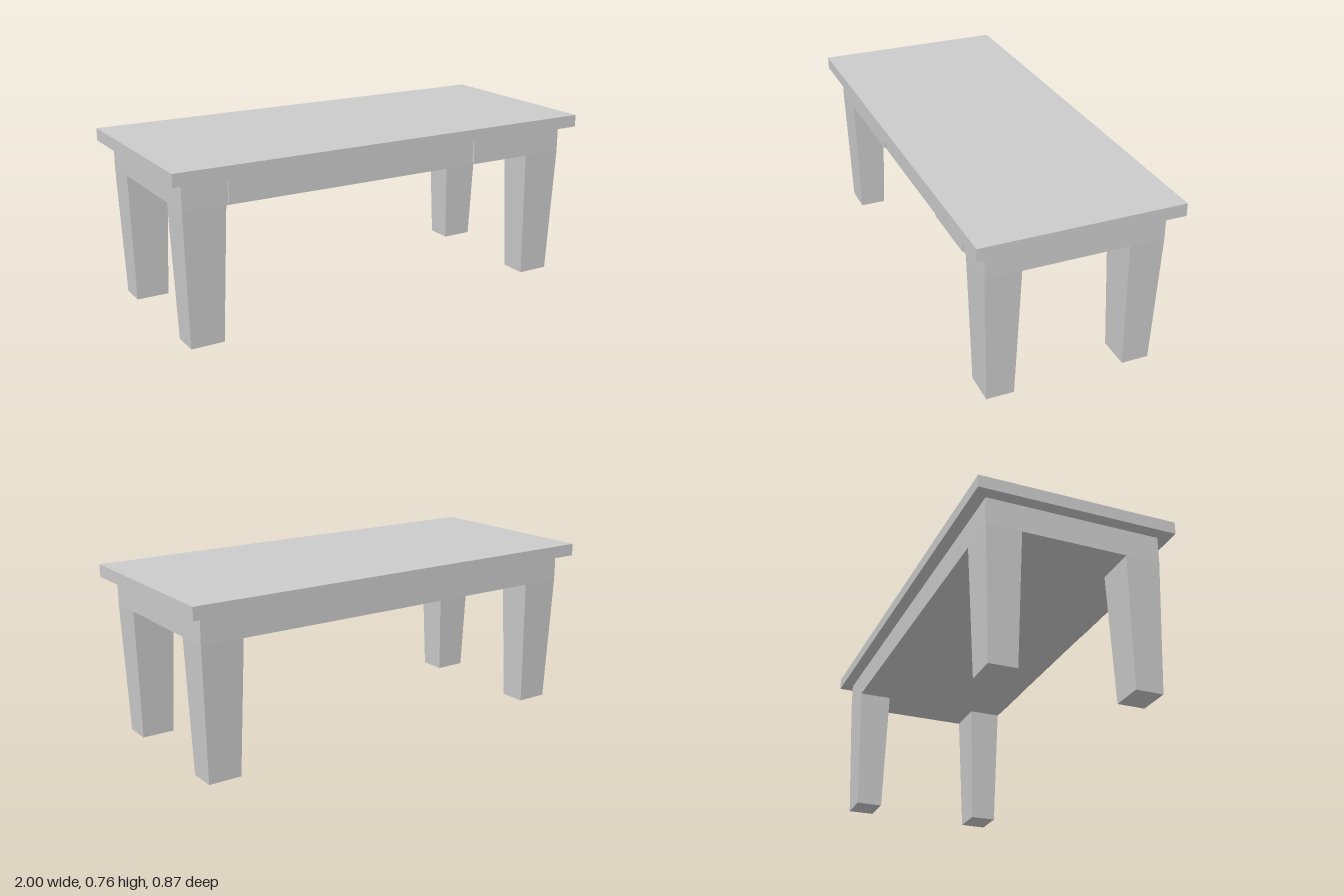
import * as THREE from 'three';

const material = new THREE.MeshStandardMaterial({ color: 0xcccccc, flatShading: true });

// Box given by its minimum and maximum along each axis
function addBox(group, name, [x0, x1], [y0, y1], [z0, z1]) {
  const mesh = new THREE.Mesh(new THREE.BoxGeometry(x1 - x0, y1 - y0, z1 - z0), material);
  mesh.position.set((x0 + x1) / 2, (y0 + y1) / 2, (z0 + z1) / 2);
  mesh.name = name;
  group.add(mesh);
}

// Square leg that narrows towards the foot
function legGeometry(height, top, foot) {
  const geometry = new THREE.BoxGeometry(1, height, 1);
  const p = geometry.attributes.position;
  for (let i = 0; i < p.count; i++) {
    const [w, d] = p.getY(i) > 0 ? top : foot;
    p.setX(i, p.getX(i) * w);
    p.setZ(i, p.getZ(i) * d);
  }
  geometry.computeVertexNormals();
  return geometry;
}

export function createModel() {
  const table = new THREE.Group();
  table.name = 'table';
  const apronBottom = 0.585, apronTop = 0.705;

  addBox(table, 'tableTop', [-1, 1], [apronTop, 0.76], [-0.437, 0.437]);
  addBox(table, 'apron', [-0.945, 0.945], [apronBottom, apronTop], [-0.383, 0.383]);

  // Drawer fronts, one wide and one narrow
  addBox(table, 'wideDrawer', [-0.75, -0.225], [0.594, 0.694], [0.37, 0.393]);
  addBox(table, 'narrowDrawer', [0.45, 0.745], [0.594, 0.694], [0.37, 0.393]);

  // Four tapered legs
  const leg = legGeometry(apronBottom, [0.187, 0.153], [0.147, 0.121]);
  for (const [side, sx] of [['Left', 1], ['Right', -1]]) {
    for (const [end, sz] of [['front', 1], ['back', -1]]) {
      const mesh = new THREE.Mesh(leg, material);
      mesh.position.set(sx * 0.8515, apronBottom / 2, sz * 0.3065);
      mesh.name = `${end}${side}Leg`;
      table.add(mesh);
    }
  }
  return table;
}
